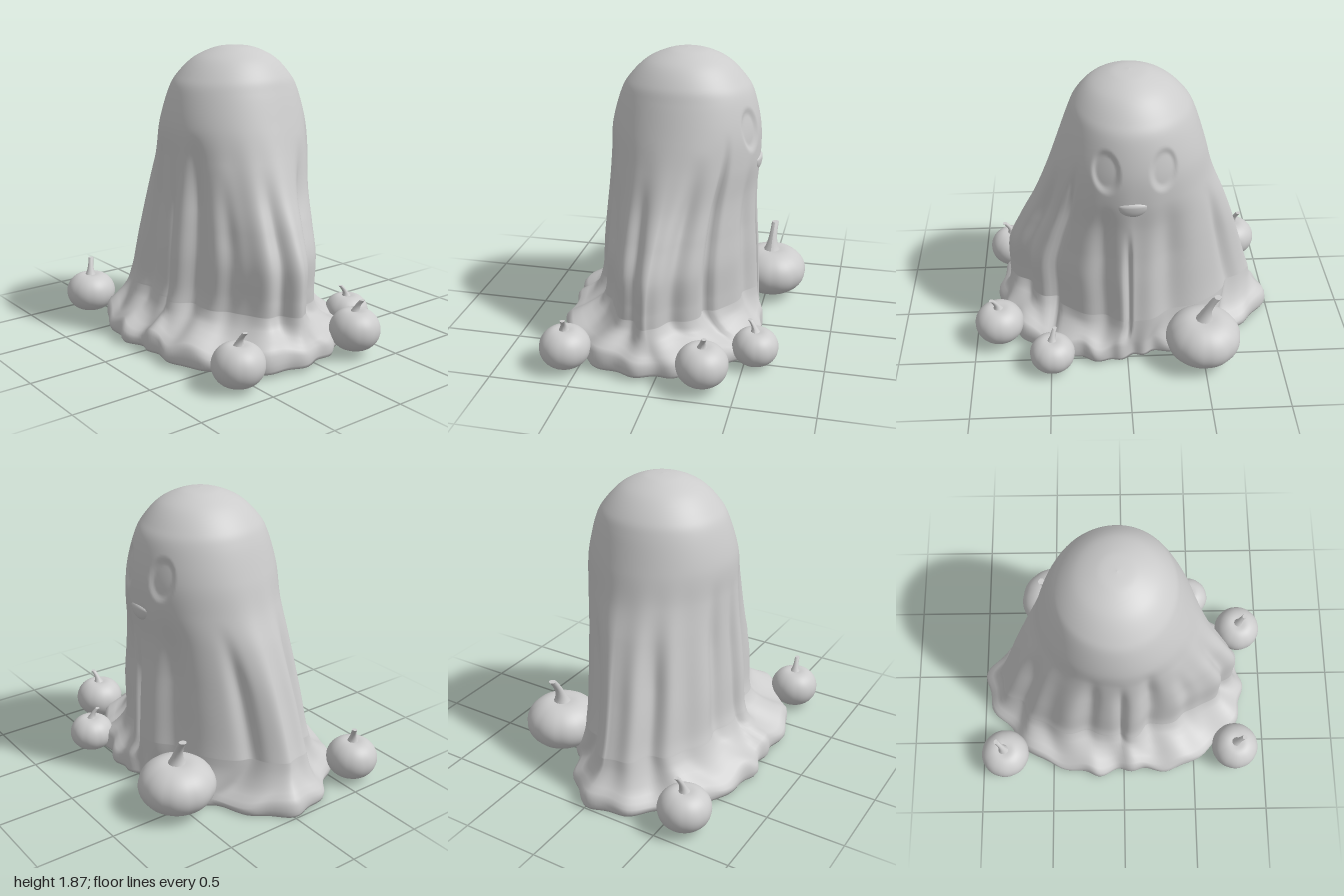
import * as THREE from 'three';

const mat = new THREE.MeshStandardMaterial({ color: 0xcccccc });
const { lerp, smoothstep } = THREE.MathUtils;
const SEG = 240, CX = 0.02, CZ = -0.03;

// Cloth sections from the crown down: height, then reach to -x, +x, -z, +z
const rows = [
  [1.875, 0.018, 0.022, -0.032, -0.028], [1.86, -0.1, 0.15, -0.15, 0.09],
  [1.8, -0.235, 0.28, -0.28, 0.215], [1.7, -0.34, 0.38, -0.385, 0.305],
  [1.6, -0.4, 0.44, -0.44, 0.35], [1.4, -0.455, 0.485, -0.505, 0.42],
  [1.2, -0.465, 0.49, -0.56, 0.49], [1.0, -0.48, 0.475, -0.64, 0.57],
  [0.8, -0.5, 0.48, -0.71, 0.67], [0.6, -0.52, 0.495, -0.77, 0.755],
  [0.4, -0.535, 0.505, -0.83, 0.765], [0.31, -0.555, 0.51, -0.86, 0.765],
];

// Radius of the spread hem on the ground, every 15 degrees from +x toward +z
const hem = [0.52, 0.58, 0.61, 0.7, 0.74, 0.8, 0.84, 0.88, 0.88, 0.83, 0.82, 0.75,
  0.72, 0.78, 0.81, 0.88, 0.9, 0.97, 0.98, 0.83, 0.68, 0.63, 0.54, 0.5];

// Hem profile: share of the way out to the hem, height
const skirt = [[0.07, 0.27], [0.18, 0.235], [0.36, 0.2], [0.6, 0.165], [0.85, 0.14], [0.97, 0.11], [1, 0.07], [0.99, 0.04], [0.94, 0.02]];

// Creases: angle, width, depth, height where they fade out
const creases = [
  [1.18, 0.13, 0.07, 1.35], [0.82, 0.05, 0.06, 1.45], [1.9, 0.09, 0.03, 1.2],
  [0.06, 0.045, 0.06, 1.05], [0.35, 0.09, 0.035, 1.25], [5.85, 0.13, 0.035, 1.25],
  [2.75, 0.09, 0.05, 1.4], [3.1, 0.08, 0.04, 1.3], [3.45, 0.09, 0.04, 1.35],
  [2.4, 0.09, 0.04, 1.2], [4.2, 0.16, 0.05, 1.2], [5.2, 0.09, 0.04, 1.2],
];

function spline(a, b, c, d, f) {
  return b + 0.5 * f * (c - a + f * (2 * a - 5 * b + 4 * c - d + f * (3 * (b - c) + d - a)));
}

function hemRadius(t) {
  const s = t / (Math.PI / 12), i = Math.floor(s), h = (k) => hem[(i + k + 24) % 24];
  return spline(h(-1), h(0), h(1), h(2), s - i) + 0.015 * Math.sin(19 * t + Math.sin(4 * t));
}

function foldDepth(t, y) {
  const side = 0.5 - 0.5 * Math.cos(t);
  let d = (1 - smoothstep(y, 0.5, 1.45)) * (0.007 + 0.008 * side) * Math.sin(13 * t + 1.5 * Math.sin(3 * t));
  for (const [a, w, depth, top] of creases) {
    const q = Math.atan2(Math.sin(t - a), Math.cos(t - a)) / w;
    d -= depth * Math.exp(-q * q) * (1 - smoothstep(y, top - 0.5, top));
  }
  return d;
}

// Shallow oval eye hollows on the +x side
function eyeDepth(x, y, z) {
  if (x < 0.2) return 0;
  let d = 0;
  for (const ez of [0.125, -0.215]) {
    const q = Math.hypot((z - ez) / 0.085, (y - 1.415) / 0.14);
    d -= 0.018 * (1 - smoothstep(q, 0.65, 1.05));
  }
  return d;
}

function clothPoint(u, t) {
  const s = u * (rows.length - 1), i = Math.min(Math.floor(s), rows.length - 2);
  const row = (k) => rows[Math.min(Math.max(i + k, 0), rows.length - 1)];
  const [y, xm, xp, zm, zp] = rows[0].map((_, c) => spline(row(-1)[c], row(0)[c], row(1)[c], row(2)[c], s - i));
  const low = 1 - smoothstep(y, 0.3, 1.5), co = Math.cos(t), si = Math.sin(t);
  // The lower section narrows to a point at front and back, but stays full at back right
  const p = 1 + low * (co < 0 && si < 0 ? 0.05 : 0.35);
  const x = CX + Math.sign(co) * Math.abs(co) ** p * (co > 0 ? xp - CX : CX - xm) - 0.09 * low * si * si;
  const z = CZ + Math.sign(si) * Math.abs(si) ** p * (si > 0 ? zp - CZ : CZ - zm);
  const d = foldDepth(t, y);
  return [x + co * d + eyeDepth(x, y, z), y, z + si * d];
}

function makeCloth() {
  const pos = [], index = [], bodyRings = 150;
  const addRing = (fn) => {
    for (let j = 0; j < SEG; j++) pos.push(...fn((j / SEG) * Math.PI * 2));
  };
  for (let i = 0; i <= bodyRings; i++) addRing((t) => clothPoint(i / bodyRings, t));
  // Puddled hem, lumpy on top, with its underside tipping down to the back
  for (const [k, y] of skirt) {
    addRing((t) => {
      const b = clothPoint(1, t), r = hemRadius(t);
      const wave = 0.025 * Math.sin(11 * t + 2 * Math.sin(2 * t)) - 0.03 * Math.max(0, -Math.sin(t));
      const lump = wave * smoothstep(k, 0, 0.5) * smoothstep(y, 0.04, 0.12) + 0.015 * k * Math.sin(t);
      return [lerp(b[0], r * Math.cos(t), k), y + lump, lerp(b[2], r * Math.sin(t), k)];
    });
  }
  const rings = bodyRings + 1 + skirt.length;
  for (let i = 0; i < rings - 1; i++) {
    for (let j = 0; j < SEG; j++) {
      const a = i * SEG + j, b = i * SEG + ((j + 1) % SEG);
      index.push(a, b, a + SEG, b, b + SEG, a + SEG);
    }
  }
  // Crown and underside caps
  const top = pos.length / 3, bottom = top + 1, last = (rings - 1) * SEG;
  pos.push(CX, 1.876, CZ, 0, 0.02, 0);
  for (let j = 0; j < SEG; j++) {
    const n = (j + 1) % SEG;
    index.push(top, n, j, bottom, last + j, last + n);
  }
  const geo = new THREE.BufferGeometry();
  geo.setAttribute('position', new THREE.Float32BufferAttribute(pos, 3));
  geo.setIndex(index);
  geo.computeVertexNormals();
  return geo;
}

function makePumpkin({ x, z, r, y0, y1, tip, lean, ribs }) {
  const group = new THREE.Group();
  const h = (y1 - y0) / 2;
  const body = new THREE.SphereGeometry(1, 64, 32), p = body.attributes.position;
  for (let i = 0; i < p.count; i++) {
    const v = new THREE.Vector3().fromBufferAttribute(p, i), ring = Math.hypot(v.x, v.z);
    const rib = 1 - ribs * Math.abs(Math.cos(4.5 * Math.atan2(v.z, v.x))) ** 6 * ring;
    const full = rib * Math.max(ring, 1e-6) ** -0.12;
    const dip = 1 - 0.12 * Math.exp(-((ring / 0.3) ** 2));
    p.setXYZ(i, v.x * full * r, v.y * dip * h * 1.03, v.z * full * r);
  }
  body.computeVertexNormals();
  const bodyMesh = new THREE.Mesh(body, mat);
  bodyMesh.name = 'pumpkinBody';
  bodyMesh.position.y = (y0 + y1) / 2;
  // Tapered stem, flared at its foot and bent toward the lean
  const base = y1 - h * 0.25, len = tip - base;
  const stem = new THREE.CylinderGeometry(1, 1, len, 12, 12), s = stem.attributes.position;
  for (let i = 0; i < s.count; i++) {
    const f = s.getY(i) / len + 0.5, w = r * (0.1 + 0.2 * (1 - f) ** 3);
    s.setXYZ(i, s.getX(i) * w + lean[0] * f * f, s.getY(i), s.getZ(i) * w + lean[1] * f * f);
  }
  stem.computeVertexNormals();
  const stemMesh = new THREE.Mesh(stem, mat);
  stemMesh.name = 'pumpkinStem';
  stemMesh.position.y = base + len / 2;
  group.add(bodyMesh, stemMesh);
  group.position.set(x, 0, z);
  return group;
}

export function createModel() {
  const model = new THREE.Group();
  const cloth = new THREE.Mesh(makeCloth(), mat);
  cloth.name = 'drapedSheet';
  model.add(cloth);

  // Mouth: a rounded, half-moon lip below the eyes
  const lip = new THREE.SphereGeometry(1, 32, 20), p = lip.attributes.position;
  for (let i = 0; i < p.count; i++) {
    if (p.getY(i) > 0) p.setY(i, p.getY(i) * 0.4);
  }
  lip.computeVertexNormals();
  const mouth = new THREE.Mesh(lip, mat);
  mouth.name = 'mouth';
  mouth.scale.set(0.03, 0.075, 0.09);
  mouth.position.set(0.472, 1.19, -0.03);
  model.add(mouth);

  const pumpkins = {
    largePumpkin: { x: 0.53, z: -0.49, r: 0.242, y0: 0.03, y1: 0.355, tip: 0.52, lean: [0.01, -0.08], ribs: 0.015 },
    frontRightPumpkin: { x: -0.58, z: 0.785, r: 0.16, y0: 0.02, y1: 0.28, tip: 0.355, lean: [0.01, 0.05], ribs: 0.008 },
    frontLeftPumpkin: { x: 0.295, z: 0.84, r: 0.16, y0: 0.04, y1: 0.3, tip: 0.365, lean: [0.02, 0.04], ribs: 0.008 },
    sidePumpkin: { x: 0.565, z: 0.49, r: 0.145, y0: 0.01, y1: 0.24, tip: 0.3, lean: [-0.04, -0.02], ribs: 0.012 },
    backPumpkin: { x: -0.615, z: -0.835, r: 0.165, y0: 0.02, y1: 0.28, tip: 0.375, lean: [0.03, -0.04], ribs: 0.008 },
  };
  for (const [name, spec] of Object.entries(pumpkins)) {
    const pumpkin = makePumpkin(spec);
    pumpkin.name = name;
    model.add(pumpkin);
  }
  return model;
}
